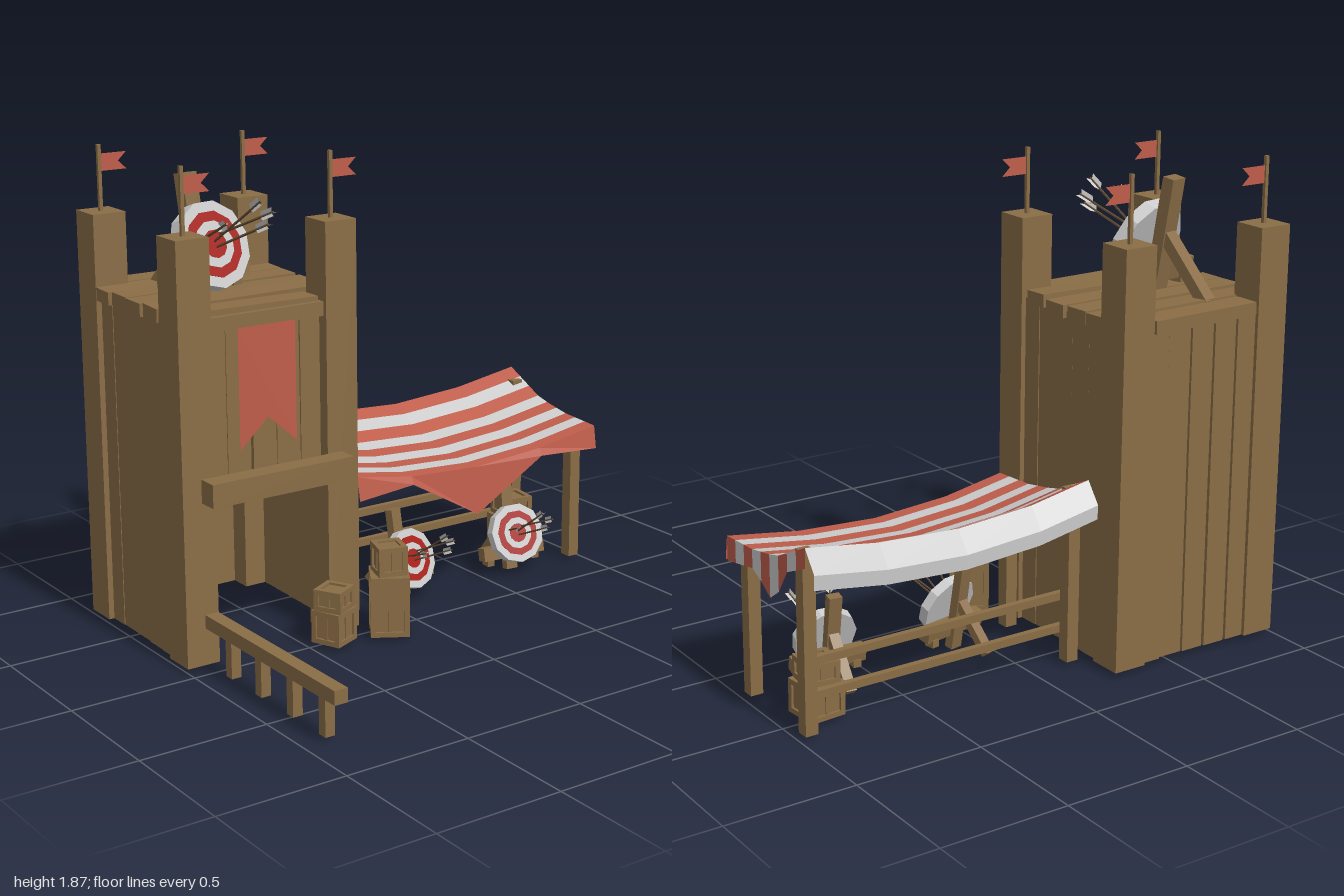
import * as THREE from 'three';

const paint = (color, extra = {}) => new THREE.MeshStandardMaterial({ color, flatShading: true, ...extra });
const wood = paint(0x8a6d46);
const darkWood = paint(0x5f4a30);
const red = paint(0xa81c14);
const white = paint(0xcccccc);
const redCloth = paint(0xbf5d4b, { side: THREE.DoubleSide });
const whiteCloth = paint(0xcccccc, { side: THREE.DoubleSide });

let seed = 7;
const jitter = (a) => {
  seed = (seed * 16807) % 2147483647;
  return (seed / 2147483647 - 0.5) * 2 * a;
};

function add(parent, name, geometry, material) {
  const mesh = new THREE.Mesh(geometry, material);
  mesh.name = name;
  parent.add(mesh);
  return mesh;
}

// Box given by its limits on each axis
function box(parent, name, [x0, x1], [y0, y1], [z0, z1], material = wood) {
  const mesh = add(parent, name, new THREE.BoxGeometry(x1 - x0, y1 - y0, z1 - z0), material);
  mesh.position.set((x0 + x1) / 2, (y0 + y1) / 2, (z0 + z1) / 2);
  return mesh;
}

// Upright board whose top and bottom differ a little in width
function board(parent, name, width, height, thick) {
  const g = new THREE.BoxGeometry(width, height, thick);
  const p = g.attributes.position;
  const slim = [1 - Math.abs(jitter(0.12)), 1 - Math.abs(jitter(0.12))];
  for (let i = 0; i < p.count; i++) p.setX(i, p.getX(i) * slim[p.getY(i) > 0 ? 1 : 0]);
  return add(parent, name, g, wood);
}

// Turns an object so its y axis runs from a to b, centred between them
function span(object, a, b) {
  object.position.addVectors(a, b).multiplyScalar(0.5);
  object.quaternion.setFromUnitVectors(new THREE.Vector3(0, 1, 0), b.clone().sub(a).normalize());
  return object;
}

function clothShape(parent, name, points) {
  const shape = new THREE.Shape(points.map(([x, y]) => new THREE.Vector2(x, y)));
  return add(parent, name, new THREE.ShapeGeometry(shape), redCloth);
}

function interpolate(table, t) {
  for (let i = 1; i < table.length; i++) {
    const [t0, v0] = table[i - 1], [t1, v1] = table[i];
    if (t >= t1 - 1e-6) return v0 + (v1 - v0) * (t - t0) / (t1 - t0);
  }
  return table[0][1];
}

function makeTower() {
  const tower = new THREE.Group();
  tower.name = 'tower';
  // Corner posts with poles and flags
  for (const x of [-0.93, -0.305]) for (const z of [-0.12, -0.74]) {
    box(tower, 'cornerPost', [x - 0.068, x + 0.068], [0.015, 1.62], [z - 0.068, z + 0.068]);
    box(tower, 'flagPole', [x - 0.007, x + 0.007], [1.62, 1.87], [z - 0.007, z + 0.007]);
    clothShape(tower, 'flag', [[0, -0.033], [0.115, -0.033], [0.08, 0], [0.115, 0.033], [0, 0.033]])
      .position.set(x, 1.802, z);
  }
  // Plank walls: both sides and back reach the ground, the front leaves a doorway
  for (let i = 0; i < 5; i++) {
    const u = (i - 2) * 0.104;
    board(tower, 'backPlank', 0.104, 1.29, 0.03).position.set(-0.6175 + u, 0.66, -0.775 + jitter(0.008));
    const front = board(tower, 'frontPlank', 0.104, 0.63, 0.03);
    front.position.set(-0.6175 + u, 0.985, -0.12 + jitter(0.006));
    for (const x of [-0.965, -0.27]) {
      const side = board(tower, 'sidePlank', 0.108, 1.3, 0.03);
      side.position.set(x + jitter(0.008), 0.665, -0.43 + u);
      side.rotation.y = Math.PI / 2;
    }
  }
  // Roof deck boards, the outer two fitting between the posts
  for (let i = 0; i < 6; i++) {
    const inner = i > 0 && i < 5;
    const deck = add(tower, 'roofBoard', new THREE.BoxGeometry(inner ? 0.745 + jitter(0.015) : 0.47, 0.05, 0.105), wood);
    deck.position.set(-0.6175, 1.32 + jitter(0.006), -0.755 + i * 0.122);
    deck.rotation.set(jitter(0.05), jitter(0.02), jitter(0.012));
  }
  box(tower, 'frontRim', [-0.86, -0.37], [1.265, 1.32], [-0.11, -0.07]);
  box(tower, 'doorBeam', [-0.92, -0.31], [0.645, 0.735], [-0.052, 0.03]);
  clothShape(tower, 'banner', [[-0.745, 1.27], [-0.745, 0.81], [-0.622, 0.92], [-0.5, 0.81], [-0.5, 1.27]])
    .position.z = -0.066;
  return tower;
}

function makeFence() {
  const fence = new THREE.Group();
  fence.name = 'fence';
  box(fence, 'fenceRail', [-0.92, -0.865], [0.16, 0.213], [-0.05, 0.81]);
  for (const z of [0.1, 0.305, 0.515, 0.72])
    box(fence, 'fencePost', [-0.913, -0.873], [0.015, 0.16], [z - 0.02, z + 0.02]);
  return fence;
}

function makeArrow(from, to) {
  const arrow = new THREE.Group();
  arrow.name = 'arrow';
  const length = from.distanceTo(to);
  add(arrow, 'shaft', new THREE.CylinderGeometry(0.005, 0.005, length, 5), darkWood);
  for (let i = 0; i < 3; i++) {
    const vane = new THREE.Shape([[0, -0.04], [0.02, -0.025], [0.02, 0.03], [0, 0.015]].map((p) => new THREE.Vector2(...p)));
    const mesh = add(arrow, 'fletching', new THREE.ShapeGeometry(vane), whiteCloth);
    mesh.position.y = length / 2 - 0.025;
    mesh.rotation.y = i * Math.PI * 2 / 3;
  }
  return span(arrow, from, to);
}

// Target on its stand; the origin is the middle of the painted face
function makeTarget(x, y, z, scale, turn) {
  const target = new THREE.Group();
  target.name = 'archeryTarget';
  const disc = new THREE.Group();
  disc.name = 'targetDisc';
  disc.rotation.x = -0.36;
  target.add(disc);
  [[0.168, white], [0.128, red], [0.09, white], [0.054, red]].forEach(([r, material], i) => {
    const depth = i ? 0.01 : 0.055;
    const ring = add(disc, 'targetRing', new THREE.CylinderGeometry(r, r, depth, 11), material);
    ring.rotation.x = Math.PI / 2;
    ring.position.z = i * 0.002 - depth / 2;
  });
  const v = (...p) => new THREE.Vector3(...p);
  const beam = (name, w, d, a, b) =>
    span(add(target, name, new THREE.BoxGeometry(w, a.distanceTo(b), d), wood), a, b);
  beam('standBoard', 0.07, 0.05, v(0, -0.235, -0.075), v(0, 0.25, -0.155));
  beam('standStrut', 0.055, 0.045, v(0, 0.04, -0.12), v(0, -0.2, -0.33));
  const bar = add(target, 'crossBar', new THREE.BoxGeometry(0.4, 0.075, 0.065), wood);
  bar.position.set(0, -0.12, -0.065);
  bar.rotation.x = -0.2;
  for (const s of [-1, 1])
    box(target, 'barFoot', [s * 0.15 - 0.022, s * 0.15 + 0.022], [-0.19, -0.15], [-0.1, -0.04]);
  // Arrows fanning out of the face
  [[-0.05, 0.02, -0.16, 0.13, 0.25], [0, 0, 0, 0.19, 0.255], [0.03, 0.03, 0.075, 0.14, 0.24], [0, -0.02, 0.04, 0.1, 0.25]]
    .forEach(([hx, hy, tx, ty, tz]) => target.add(makeArrow(v(hx, hy, -0.015), v(tx, ty, tz))));
  target.position.set(x, y, z);
  target.rotation.y = turn;
  target.scale.setScalar(scale);
  return target;
}

// Crate: inset panels inside a frame of twelve bars
function makeCrate(x, y, z, side, height, turn) {
  const crate = new THREE.Group();
  crate.name = 'crate';
  const t = 0.02, size = [side, height, side];
  add(crate, 'cratePanels', new THREE.BoxGeometry(side - 0.018, height - 0.018, side - 0.018), wood);
  for (let axis = 0; axis < 3; axis++) for (const a of [-1, 1]) for (const b of [-1, 1]) {
    const j = (axis + 1) % 3, k = (axis + 2) % 3;
    const dims = [t, t, t], pos = [0, 0, 0];
    dims[axis] = size[axis] - (axis === 1 ? 0 : 2 * t);
    pos[j] = a * (size[j] - t) / 2;
    pos[k] = b * (size[k] - t) / 2;
    add(crate, 'crateFrame', new THREE.BoxGeometry(...dims), wood).position.set(...pos);
  }
  // Centre slats on the four sides
  add(crate, 'crateSlat', new THREE.BoxGeometry(0.016, height - 0.03, side - 0.008), wood);
  add(crate, 'crateSlat', new THREE.BoxGeometry(side - 0.008, height - 0.03, 0.016), wood);
  crate.position.set(x, y + height / 2, z);
  crate.rotation.y = turn;
  return crate;
}

function makeStall() {
  const stall = new THREE.Group();
  stall.name = 'marketStall';
  for (const x of [-0.17, 0.955]) {
    box(stall, 'stallFrontPost', [x - 0.025, x + 0.025], [0.015, 0.59], [-0.235, -0.185]);
    box(stall, 'stallBackPost', [x - 0.025, x + 0.025], [0.015, 0.7], [-0.63, -0.58]);
  }
  for (const y of [0.135, 0.265]) box(stall, 'stallRail', [-0.2, 0.96], [y - 0.015, y + 0.015], [-0.58, -0.555]);

  // Sagging awning with stripes running side to side
  const xs = [-0.208, 0.05, 0.37, 0.7, 0.995];
  const sag = [0, -0.045, -0.065, -0.045, 0];
  const top = [[-0.66, 0.735], [-0.46, 0.64], [-0.29, 0.61], [-0.1, 0.6]].reverse();
  const hem = [[-0.1, 0.505], [-0.3, 0.54], [-0.44, 0.45], [-0.52, 0.6], [-0.66, 0.66]];
  const height = (table, z) => {
    const i = Math.max(1, table.findIndex(([tz]) => tz <= z + 1e-6));
    const [z0, y0] = table[i - 1], [z1, y1] = table[i];
    return y0 + (y1 - y0) * (z - z0) / (z1 - z0);
  };
  const cloth = (name, rowA, rowB, material) => {
    const pts = [];
    for (let i = 0; i + 1 < rowA.length; i++)
      pts.push(...rowA[i], ...rowA[i + 1], ...rowB[i + 1], ...rowA[i], ...rowB[i + 1], ...rowB[i]);
    const g = new THREE.BufferGeometry();
    g.setAttribute('position', new THREE.Float32BufferAttribute(pts, 3));
    g.computeVertexNormals();
    add(stall, name, g, material);
  };
  const row = (z, y) => xs.map((x, i) => [x, y + sag[i], z - 0.015 * x]);
  const bands = 9, zAt = (i) => -0.1 - 0.56 * i / bands;
  for (let i = 0; i < bands; i++) {
    const z0 = zAt(i), z1 = zAt(i + 1), material = i % 2 ? whiteCloth : redCloth;
    cloth('awningStripe', row(z0, height(top, z0)), row(z1, height(top, z1)), material);
    for (const x of [xs[0], xs[4]]) {
      const edge = (table) => [z0, z1].map((z) => [x, height(table, z), z - 0.015 * x]);
      cloth('sideValance', edge(top), edge(hem), material);
    }
  }
  const frontHem = [0.505, 0.525, 0.34, 0.525, 0.505];
  cloth('frontValance', row(-0.1, 0.6), xs.map((x, i) => [x, frontHem[i], -0.085 - 0.015 * x]), redCloth);
  cloth('backValance', row(-0.66, 0.735), row(-0.72, 0.655), whiteCloth);
  cloth('backValance', row(-0.72, 0.655), row(-0.718, 0.6), whiteCloth);
  return stall;
}

export function createModel() {
  seed = 7;
  const model = new THREE.Group();
  model.name = 'archeryRange';
  model.add(makeTower(), makeFence(), makeStall());
  model.add(makeTarget(-0.67, 1.525, -0.345, 1, 0.2));
  model.add(makeTarget(0.12, 0.175, -0.19, 0.73, 0.2));
  model.add(makeTarget(0.655, 0.175, -0.19, 0.73, -0.1));
  // Stacks of crates: x, base, z, side, height, turn
  [
    [-0.4, 0.015, 0.02, 0.125, 0.13, 0.4], [-0.4, 0.145, 0.02, 0.115, 0.085, 0.5],
    [-0.165, 0.01, 0.05, 0.15, 0.24, -0.55], [-0.165, 0.25, 0.05, 0.115, 0.115, -0.3],
    [0.848, 0.015, -0.48, 0.145, 0.13, 0.08], [0.848, 0.145, -0.48, 0.13, 0.085, -0.12],
  ].forEach((c) => model.add(makeCrate(...c)));
  return model;
}
